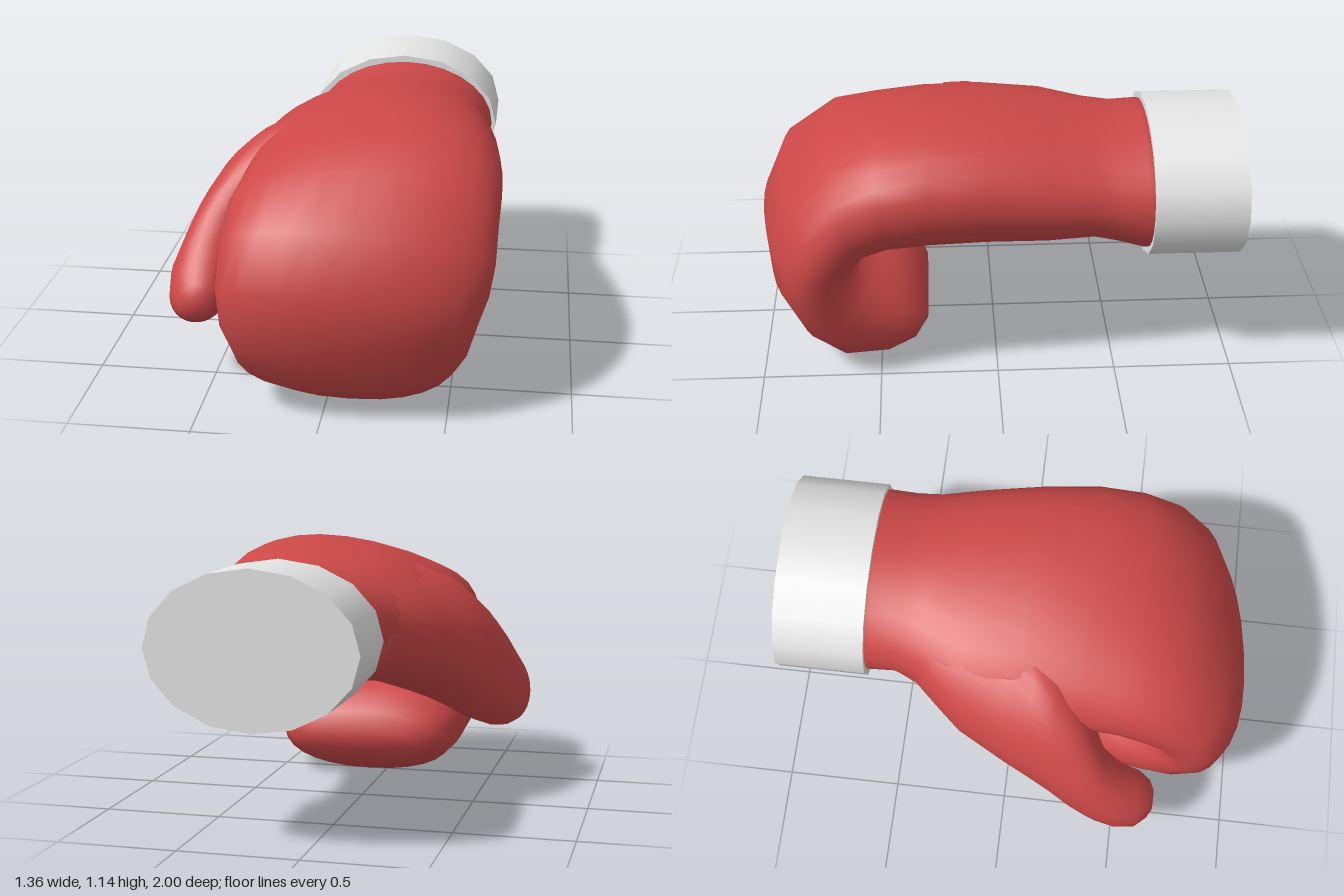
import * as THREE from 'three';

const SIDES = 28;

// Closed skin through rings of points, with a fan at each end
function loft(rings) {
  const n = rings[0].length, pts = rings.flat(), index = [];
  for (let i = 0; i < rings.length - 1; i++) {
    for (let j = 0; j < n; j++) {
      const k = (j + 1) % n;
      const a = i * n + j, b = i * n + k, c = a + n, d = b + n;
      index.push(a, b, d, a, d, c);
    }
  }
  const centre = (ring) => ring.reduce((s, p) => s.add(p), new THREE.Vector3()).divideScalar(n);
  const first = pts.length, last = first + 1, end = (rings.length - 1) * n;
  const all = [...pts, centre(rings[0]), centre(rings[rings.length - 1])];
  for (let j = 0; j < n; j++) {
    const k = (j + 1) % n;
    index.push(first, k, j, last, end + j, end + k);
  }
  const g = new THREE.BufferGeometry().setFromPoints(all);
  g.setIndex(index);
  g.computeVertexNormals();
  return g;
}

// Unit superellipse as [u, v] pairs
function superellipse(power) {
  const f = (t) => Math.sign(t) * Math.pow(Math.abs(t), 2 / power);
  return Array.from({ length: SIDES }, (_, j) => {
    const a = (j / SIDES) * Math.PI * 2;
    return [f(Math.cos(a)), f(Math.sin(a))];
  });
}

// Hand sections: outer z, y; palm-side z, y; min x, max x; slant of the outer face; squareness
const HAND = [
  [-0.68, 1.08, -0.68, 0.51, -0.21, 0.60, 0, 2],
  [-0.60, 1.08, -0.60, 0.52, -0.21, 0.60, 0, 2],
  [-0.50, 1.07, -0.50, 0.55, -0.21, 0.59, 0.01, 2],
  [-0.38, 1.075, -0.40, 0.57, -0.25, 0.59, 0.03, 2],
  [-0.20, 1.10, -0.20, 0.56, -0.35, 0.62, 0.07, 2.05],
  [0.05, 1.13, 0.05, 0.57, -0.37, 0.65, 0.10, 2.05],
  [0.30, 1.12, 0.28, 0.58, -0.385, 0.675, 0.11, 2.1],
  [0.50, 1.085, 0.45, 0.575, -0.39, 0.68, 0.09, 2.15],
  [0.70, 1.02, 0.53, 0.55, -0.405, 0.675, 0.02, 2.2],
  [0.90, 0.83, 0.56, 0.52, -0.41, 0.67, -0.09, 2.25],
  [0.99, 0.60, 0.57, 0.49, -0.42, 0.65, -0.11, 2.25],
  [0.975, 0.37, 0.55, 0.465, -0.41, 0.615, -0.10, 2.3],
  [0.855, 0.14, 0.50, 0.44, -0.385, 0.58, -0.06, 2.4],
  [0.69, 0.02, 0.44, 0.41, -0.35, 0.54, 0, 2.4],
  [0.49, 0.00, 0.38, 0.375, -0.32, 0.49, 0, 2.3],
  [0.36, 0.05, 0.32, 0.31, -0.26, 0.43, 0, 2.2],
  [0.30, 0.13, 0.29, 0.24, -0.16, 0.34, 0, 2],
];

function handRing([zo, yo, zi, yi, x0, x1, slant, power]) {
  const half = new THREE.Vector3(0, yo - yi, zo - zi).multiplyScalar(0.5);
  const out = half.clone().normalize();
  const mid = new THREE.Vector3((x0 + x1) / 2, (yo + yi) / 2, (zo + zi) / 2);
  return superellipse(power).map(([u, v]) => {
    const p = mid.clone().addScaledVector(half, v);
    p.x += (u * (x1 - x0)) / 2;
    return p.addScaledVector(out, slant * (p.x - 0.1) * (1 + v) / 2);
  });
}

// Thumb sections: z; outer edge x, y; inner edge x, y; half thickness
const THUMB = [
  [-0.50, -0.20, 0.79, 0.20, 0.81, 0.19],
  [-0.40, -0.245, 0.78, 0.20, 0.82, 0.21],
  [-0.30, -0.335, 0.76, 0.20, 0.84, 0.22],
  [-0.20, -0.415, 0.72, 0.17, 0.87, 0.24],
  [0.00, -0.505, 0.64, 0.10, 0.86, 0.265],
  [0.10, -0.545, 0.605, 0.00, 0.84, 0.285],
  [0.20, -0.585, 0.56, -0.10, 0.79, 0.295],
  [0.30, -0.63, 0.50, -0.20, 0.69, 0.28],
  [0.37, -0.652, 0.455, -0.31, 0.60, 0.25],
  [0.42, -0.665, 0.43, -0.385, 0.53, 0.215],
  [0.50, -0.68, 0.41, -0.415, 0.45, 0.175],
  [0.59, -0.665, 0.385, -0.43, 0.42, 0.125],
  [0.64, -0.62, 0.38, -0.46, 0.40, 0.08],
  [0.66, -0.585, 0.385, -0.50, 0.395, 0.035],
];

function thumbRing([z, ax, ay, bx, by, t]) {
  return superellipse(2.05).map(([u, v]) => new THREE.Vector3(
    (ax + bx + u * (bx - ax)) / 2, (ay + by + u * (by - ay)) / 2 + v * t, z));
}

export function createModel() {
  const group = new THREE.Group();
  group.name = 'boxingGlove';
  const leather = new THREE.MeshStandardMaterial({ color: 0xcd4848 });
  leather.name = 'redLeather';
  const band = new THREE.MeshStandardMaterial({ color: 0xe6e6e6 });
  band.name = 'lightGreyBand';

  const add = (name, geometry, material) => {
    const mesh = new THREE.Mesh(geometry, material);
    mesh.name = name;
    group.add(mesh);
    return mesh;
  };

  // Padded hand, curling over into the fingertips
  add('hand', loft(HAND.map(handRing)), leather);
  // Thumb and its web, growing out of the side of the palm
  add('thumb', loft(THUMB.map(thumbRing)), leather);

  // Oval wrist cuff
  const cuff = new THREE.CylinderGeometry(1, 1, 0.38, 16);
  cuff.rotateX(Math.PI / 2);
  cuff.scale(0.43, 0.315, 1);
  add('cuff', cuff, band).position.set(0.19, 0.795, -0.81);

  return group;
}
